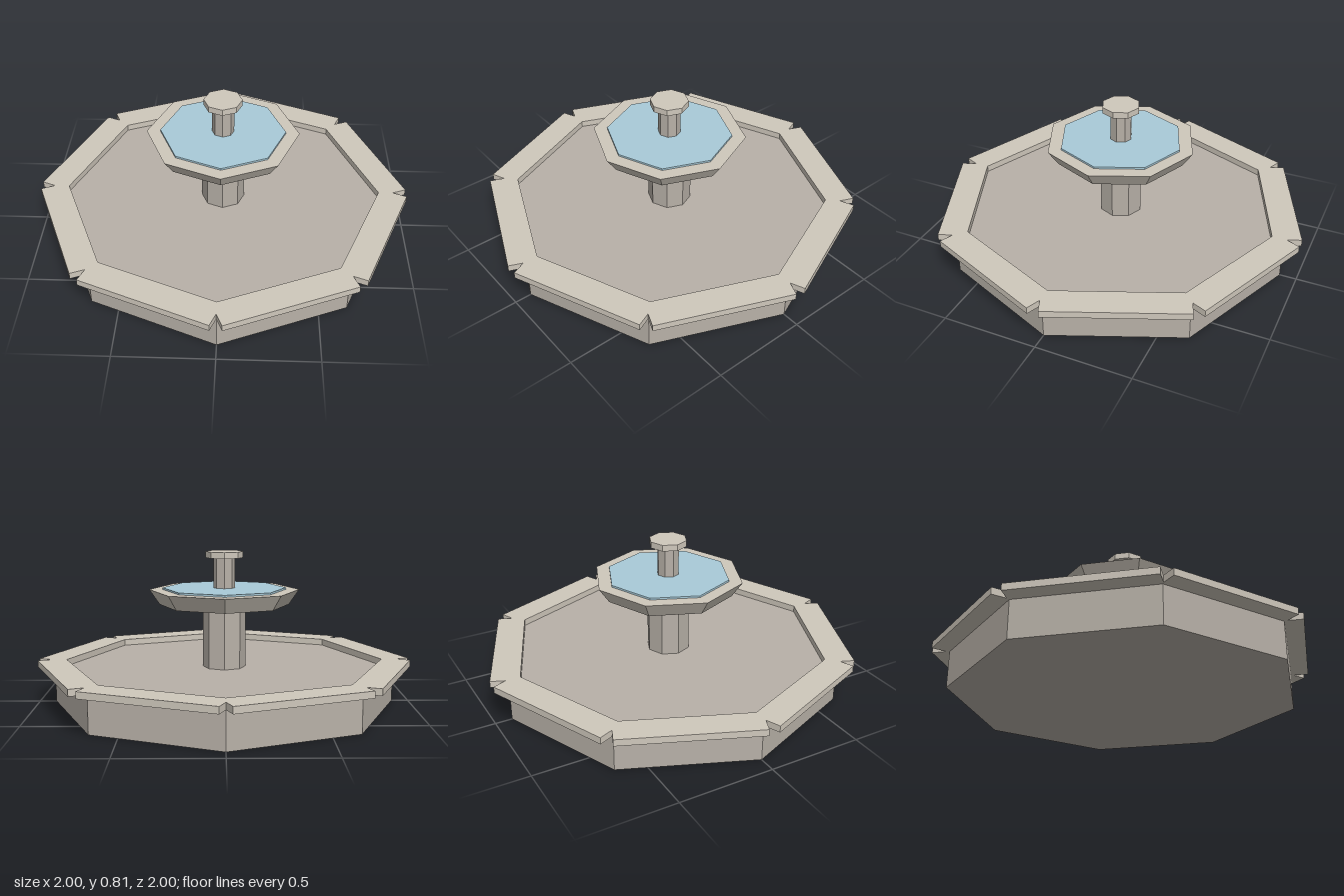
import * as THREE from 'three';

const SIDES = 8;

export function createModel() {
  const fountain = new THREE.Group();
  fountain.name = 'fountain';

  const mat = (color) => new THREE.MeshStandardMaterial({ color, flatShading: true });
  const stone = mat(0xcfc8bc);
  const darkStone = mat(0xb8b1a8);
  const water = mat(0xa9cbd9);

  // Octagonal drum between two heights, with corners on the x and z axes
  function drum(name, rBottom, rTop, y0, y1, material) {
    const mesh = new THREE.Mesh(
      new THREE.CylinderGeometry(rTop, rBottom, y1 - y0, SIDES), material);
    mesh.position.y = (y0 + y1) / 2;
    mesh.name = name;
    fountain.add(mesh);
  }

  // Lower basin, central column and upper bowl
  drum('basin', 0.912, 0.912, 0, 0.195, darkStone);
  drum('lowerColumn', 0.115, 0.115, 0.19, 0.535, darkStone);
  drum('upperBowl', 0.345, 0.4, 0.53, 0.61, stone);
  drum('bowlWater', 0.328, 0.328, 0.6, 0.62, water);
  drum('upperColumn', 0.058, 0.058, 0.61, 0.785, darkStone);
  drum('columnCap', 0.1, 0.1, 0.78, 0.813, stone);

  // Rim slabs: square ends leave a V notch at each outer corner
  const inner = 0.785, outer = 0.935;
  const slab = new THREE.BoxGeometry(0.71, 0.035, outer - inner);
  slab.translate(0, 0.2125, (inner + outer) / 2);
  const rim = new THREE.Group();
  rim.name = 'basinRim';
  for (let i = 0; i < SIDES; i++) {
    const mesh = new THREE.Mesh(slab, stone);
    mesh.rotation.y = ((i + 0.5) / SIDES) * Math.PI * 2;
    mesh.name = 'rimSlab';
    rim.add(mesh);
  }
  fountain.add(rim);

  return fountain;
}
